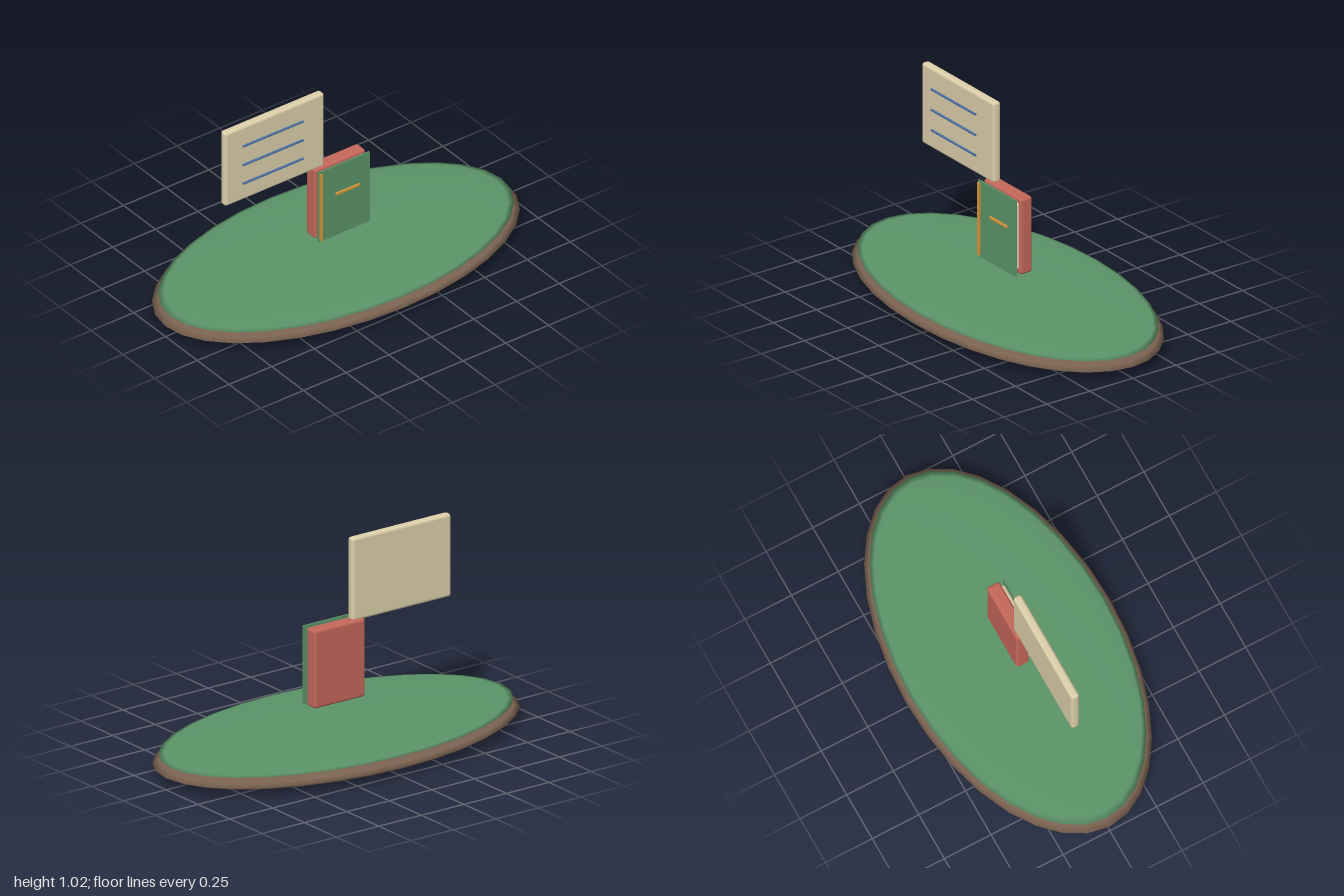
import * as THREE from 'three';
import { RoundedBoxGeometry } from 'three/addons/geometries/RoundedBoxGeometry.js';

const material = (name, color) => {
  const m = new THREE.MeshStandardMaterial({ color });
  m.name = name;
  return m;
};

export function createModel() {
  const soil = material('soil brown', 0x7a6250);
  const green = material('leaf green', 0x5c9468);
  const red = material('brick red', 0xc4675a);
  const cream = material('paper cream', 0xdccfaa);
  const blue = material('ink blue', 0x4a6fa5);
  const gold = material('gold', 0xd69a3c);

  const model = new THREE.Group();
  const add = (parent, name, geometry, mat, x, y, z) => {
    const mesh = new THREE.Mesh(geometry, mat);
    mesh.name = name;
    mesh.position.set(x, y, z);
    parent.add(mesh);
    return mesh;
  };
  const group = (name) => {
    const g = new THREE.Group();
    g.name = name;
    model.add(g);
    return g;
  };

  // Oval ground: two flattened spheres
  const ground = group('ground');
  const disc = (name, mat, y, rx, ry, rz) =>
    add(ground, name, new THREE.SphereGeometry(1, 32, 12).scale(rx, ry, rz), mat, 0, y, 0);
  disc('groundBase', soil, 0.06, 1, 0.058, 0.545);
  disc('groundTop', green, 0.104, 0.97, 0.018, 0.52);

  // Book: back block, pages, front cover with trim
  const book = group('book');
  add(book, 'bookBody', new RoundedBoxGeometry(0.3, 0.392, 0.069, 3, 0.014), red, 0, 0.424, 0);
  add(book, 'pages', new RoundedBoxGeometry(0.27, 0.347, 0.044, 3, 0.014), cream, 0, 0.424, 0.031);
  add(book, 'cover', new THREE.BoxGeometry(0.3, 0.392, 0.009), green, 0, 0.424, 0.06);
  add(book, 'spineTrim', new THREE.BoxGeometry(0.016, 0.374, 0.007), gold, -0.138, 0.424, 0.07);
  add(book, 'coverBar', new RoundedBoxGeometry(0.14, 0.017, 0.009, 2, 0.004), gold, 0.018, 0.463, 0.068);

  // Floating note board with three written lines
  const board = group('noteBoard');
  add(board, 'boardPanel', new RoundedBoxGeometry(0.582, 0.416, 0.043, 3, 0.015), cream, -0.374, 0.819, 0.001);
  for (const y of [0.713, 0.818, 0.924]) {
    const line = add(board, 'writtenLine', new THREE.CylinderGeometry(0.006, 0.006, 0.353, 10), blue, -0.393, y, 0.032);
    line.rotation.z = Math.PI / 2;
  }

  return model;
}
